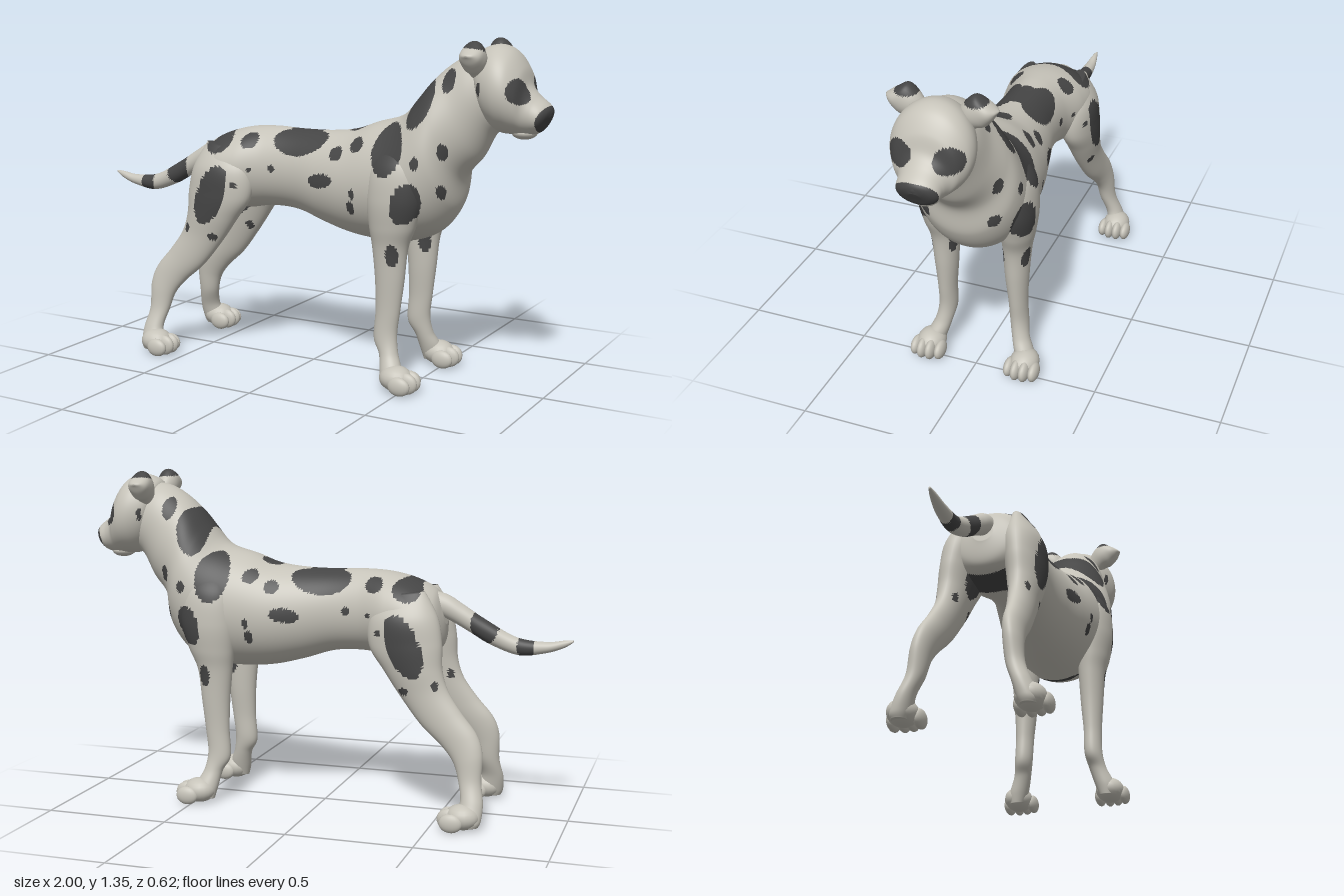
import * as THREE from 'three';
import { mergeGeometries } from 'three/addons/utils/BufferGeometryUtils.js';

const coat = new THREE.MeshStandardMaterial({ color: 0xc6c3b9 });
coat.name = 'paleCoat';
const spot = new THREE.MeshStandardMaterial({ color: 0x454545 });
spot.name = 'darkSpot';

// Spots running through the body sideways: x, y, radius x, radius y, tilt
const SIDE_SPOTS = [
  [-0.375, 0.69, 0.065, 0.13, -0.42], [-0.37, 0.9, 0.057, 0.042, 0.3],
  [-0.235, 0.915, 0.036, 0.03, 0], [0.18, 0.895, 0.03, 0.026, 0.2],
  [0.27, 0.935, 0.03, 0.028, 0], [0.12, 0.785, 0.06, 0.028, 0.12],
  [0.275, 0.75, 0.013, 0.02, 0], [0.265, 0.695, 0.018, 0.026, 0],
  [-0.125, 0.81, 0.016, 0.015, 0], [-0.22, 0.8, 0.01, 0.01, 0],
  [-0.27, 0.74, 0.015, 0.013, 0], [-0.5, 0.54, 0.014, 0.02, 0],
  [-0.375, 0.515, 0.018, 0.018, 0], [0.42, 0.93, 0.068, 0.098, 0],
  [0.51, 0.735, 0.052, 0.08, -0.3], [0.545, 0.89, 0.018, 0.025, 0],
  [0.625, 0.78, 0.012, 0.028, 0], [0.635, 0.935, 0.017, 0.032, 0],
  [0.53, 1.105, 0.052, 0.095, -0.3], [0.635, 1.195, 0.027, 0.045, 0],
  [0.45, 0.53, 0.024, 0.045, 0], [0.76, 1.17, 0.009, 0.025, 0],
  [-0.66, 0.765, 0.055, 0.075, 0], [-0.82, 0.69, 0.033, 0.06, 0],
];
// Rounded spots: x, y, z, radius x, y, z
const ROUND_SPOTS = [
  [-0.01, 0.925, 0.075, 0.125, 0.075, 0.075], [-0.02, 0.96, 0, 0.075, 0.05, 0.06],
  [0.22, 0.985, 0, 0.05, 0.03, 0.05],
  [0.895, 1.165, 0.09, 0.075, 0.048, 0.054],   // eye patch
  [0.985, 1.06, 0, 0.062, 0.052, 0.085],       // nose
  [0.75, 1.338, 0.125, 0.06, 0.032, 0.055],    // ear fold
];

function isSpot(x, y, z) {
  for (const [cx, cy, rx, ry, a] of SIDE_SPOTS) {
    const dx = x - cx, dy = y - cy, c = Math.cos(a), s = Math.sin(a);
    if (((dx * c + dy * s) / rx) ** 2 + ((dy * c - dx * s) / ry) ** 2 < 1) return true;
  }
  return ROUND_SPOTS.some(([cx, cy, cz, rx, ry, rz]) =>
    ((x - cx) / rx) ** 2 + ((y - cy) / ry) ** 2 + ((Math.abs(z) - cz) / rz) ** 2 < 1);
}

// Sort the faces into a pale group and a dark group
function paint(geo) {
  const p = geo.attributes.position, idx = geo.index.array, pale = [], dark = [];
  for (let i = 0; i < idx.length; i += 3) {
    const t = [idx[i], idx[i + 1], idx[i + 2]];
    const mid = f => (f(t[0]) + f(t[1]) + f(t[2])) / 3;
    const hit = isSpot(mid(k => p.getX(k)), mid(k => p.getY(k)), mid(k => p.getZ(k)));
    (hit ? dark : pale).push(...t);
  }
  geo.setIndex(pale.concat(dark));
  geo.clearGroups();
  geo.addGroup(0, pale.length, 0);
  geo.addGroup(pale.length, dark.length, 1);
  return geo;
}

const spline = (a, b, c, d, t) => 0.5 * (2 * b + (c - a) * t +
  (2 * a - 5 * b + 4 * c - d) * t * t + (3 * b - a - 3 * c + d) * t * t * t);

// Smooth skin through oval rings: [ax, ay, bx, by, halfWidth, z],
// where a and b are opposite points of the ring in the side outline
function loft(rings, steps, sides) {
  const rows = [], n = rings.length;
  for (let i = 0; i < n - 1; i++) {
    for (let s = 0; s < steps + (i === n - 2 ? 1 : 0); s++) {
      const q = [-1, 0, 1, 2].map(k => rings[Math.min(n - 1, Math.max(0, i + k))]);
      rows.push([0, 1, 2, 3, 4, 5].map(k => spline(...q.map(r => r[k] ?? 0), s / steps)));
    }
  }
  const point = ([ax, ay, bx, by, , z]) => [(ax + bx) / 2, (ay + by) / 2, (ax + bx) / 2, (ay + by) / 2, 0, z];
  rows.unshift(point(rows[0]));
  rows.push(point(rows[rows.length - 1]));
  const pos = [], idx = [];
  rows.forEach(([ax, ay, bx, by, w, z], i) => {
    for (let j = 0; j < sides; j++) {
      const a = j / sides * Math.PI * 2, c = Math.cos(a) / 2;
      pos.push((ax + bx) / 2 + (ax - bx) * c, (ay + by) / 2 + (ay - by) * c, z + w * Math.sin(a));
      if (i === rows.length - 1) continue;
      const k = i * sides + j, l = i * sides + (j + 1) % sides;
      idx.push(k, l, k + sides, l, l + sides, k + sides);
    }
  });
  const geo = new THREE.BufferGeometry();
  geo.setAttribute('position', new THREE.Float32BufferAttribute(pos, 3));
  geo.setIndex(idx);
  geo.computeVertexNormals();
  return geo;
}

function mirrored(geo) {
  const g = geo.clone().scale(1, 1, -1);
  g.setIndex(Array.from(g.index.array).reverse());
  g.computeVertexNormals();
  return g;
}

const ball = (x, y, z, rx, ry, rz) =>
  new THREE.SphereGeometry(1, 20, 14).scale(rx, ry, rz).translate(x, y, z);

// Rounded pad with four toes
function pawGeometry(x, z) {
  const parts = [ball(x, 0.052, z, 0.068, 0.05, 0.058)];
  for (let k = 0; k < 4; k++) {
    const inner = k === 1 || k === 2;
    parts.push(ball(x + (inner ? 0.05 : 0.035), inner ? 0.042 : 0.037, z + (k - 1.5) * 0.034,
      0.046, inner ? 0.042 : 0.037, 0.021));
  }
  return mergeGeometries(parts);
}

export function createModel() {
  const dog = new THREE.Group();
  dog.name = 'spottedDog';
  const add = (name, geo) => {
    const mesh = new THREE.Mesh(paint(geo), [coat, spot]);
    mesh.name = name;
    dog.add(mesh);
  };
  const addPair = (name, geo) => {
    const other = mirrored(geo);
    add('left' + name, geo);
    add('right' + name, other);
  };

  // Torso and neck, from rump to throat
  add('torsoAndNeck', loft([
    [-0.49, 0.84, -0.505, 0.76, 0.04], [-0.46, 0.895, -0.49, 0.67, 0.12],
    [-0.38, 0.935, -0.42, 0.63, 0.18], [-0.28, 0.96, -0.3, 0.62, 0.175],
    [-0.17, 0.967, -0.18, 0.638, 0.135], [-0.05, 0.963, -0.05, 0.632, 0.132],
    [0.08, 0.965, 0.08, 0.592, 0.157], [0.2, 0.98, 0.2, 0.562, 0.185],
    [0.3, 1.015, 0.32, 0.55, 0.203], [0.39, 1.04, 0.46, 0.558, 0.213],
    [0.44, 1.07, 0.57, 0.605, 0.215], [0.49, 1.13, 0.64, 0.7, 0.205],
    [0.54, 1.19, 0.665, 0.82, 0.178], [0.6, 1.245, 0.73, 0.9, 0.145],
    [0.67, 1.285, 0.78, 0.99, 0.127], [0.75, 1.3, 0.83, 1.03, 0.11],
  ], 14, 112));

  // Skull and muzzle
  add('head', loft([
    [0.7, 1.26, 0.74, 1.08, 0.06], [0.72, 1.305, 0.77, 1.03, 0.12],
    [0.79, 1.33, 0.81, 1.005, 0.15], [0.85, 1.31, 0.85, 1, 0.15],
    [0.895, 1.25, 0.885, 1, 0.125], [0.915, 1.185, 0.91, 1, 0.097],
    [0.945, 1.15, 0.93, 1.002, 0.084], [0.983, 1.12, 0.95, 1.008, 0.077],
    [0.998, 1.1, 0.965, 1.02, 0.056], [0.998, 1.075, 0.98, 1.045, 0.02],
  ], 10, 72));
  add('chin', ball(0.895, 1.008, 0, 0.048, 0.026, 0.05));
  add('noseTip', ball(0.978, 1.088, 0, 0.022, 0.024, 0.032));

  // Folded ears, shaped across and turned to stick out sideways
  addPair('Ear', loft([
    [0.06, 1.28, 0.1, 1.2, 0.03], [0.09, 1.322, 0.13, 1.222, 0.043],
    [0.125, 1.346, 0.16, 1.232, 0.045], [0.165, 1.325, 0.185, 1.258, 0.04],
    [0.195, 1.305, 0.2, 1.283, 0.022], [0.207, 1.296, 0.205, 1.29, 0.004],
  ], 8, 36).rotateY(-Math.PI / 2).translate(0.742, 0, 0));

  // Tail
  add('tail', loft([
    [-0.42, 0.82, -0.4, 0.9, 0.04], [-0.53, 0.768, -0.5, 0.878, 0.04],
    [-0.6, 0.73, -0.57, 0.838, 0.037], [-0.68, 0.686, -0.655, 0.785, 0.034],
    [-0.79, 0.65, -0.78, 0.72, 0.03], [-0.89, 0.662, -0.895, 0.707, 0.024],
    [-0.96, 0.685, -0.965, 0.716, 0.014], [-1, 0.71, -1, 0.718, 0.004],
  ], 12, 32));

  // Front legs, from shoulder to paw
  addPair('FrontLeg', loft([
    [0.51, 0.98, 0.37, 0.95, 0.02, 0.13], [0.55, 0.88, 0.34, 0.86, 0.06, 0.16],
    [0.56, 0.75, 0.33, 0.74, 0.073, 0.163], [0.53, 0.64, 0.34, 0.63, 0.065, 0.158],
    [0.495, 0.55, 0.35, 0.55, 0.055, 0.15], [0.48, 0.42, 0.362, 0.42, 0.046, 0.148],
    [0.465, 0.3, 0.365, 0.3, 0.037, 0.15], [0.455, 0.21, 0.36, 0.19, 0.036, 0.153],
    [0.465, 0.14, 0.39, 0.13, 0.035, 0.165], [0.49, 0.08, 0.405, 0.06, 0.04, 0.188],
    [0.48, 0.03, 0.415, 0.02, 0.03, 0.195],
  ], 10, 44));
  addPair('FrontPaw', pawGeometry(0.478, 0.2));

  // Hind legs, from thigh over hock to paw
  addPair('HindLeg', loft([
    [-0.27, 0.88, -0.44, 0.9, 0.03, 0.11], [-0.22, 0.79, -0.495, 0.8, 0.075, 0.12],
    [-0.225, 0.68, -0.515, 0.7, 0.073, 0.132], [-0.285, 0.59, -0.52, 0.6, 0.063, 0.14],
    [-0.355, 0.49, -0.545, 0.52, 0.05, 0.145], [-0.44, 0.385, -0.6, 0.44, 0.042, 0.155],
    [-0.525, 0.31, -0.665, 0.36, 0.038, 0.165], [-0.575, 0.25, -0.69, 0.285, 0.036, 0.175],
    [-0.6, 0.18, -0.69, 0.18, 0.034, 0.187], [-0.615, 0.11, -0.703, 0.1, 0.035, 0.215],
    [-0.6, 0.05, -0.7, 0.04, 0.04, 0.235], [-0.62, 0.015, -0.69, 0.015, 0.03, 0.238],
  ], 10, 44));
  addPair('HindPaw', pawGeometry(-0.628, 0.238));

  return dog;
}
